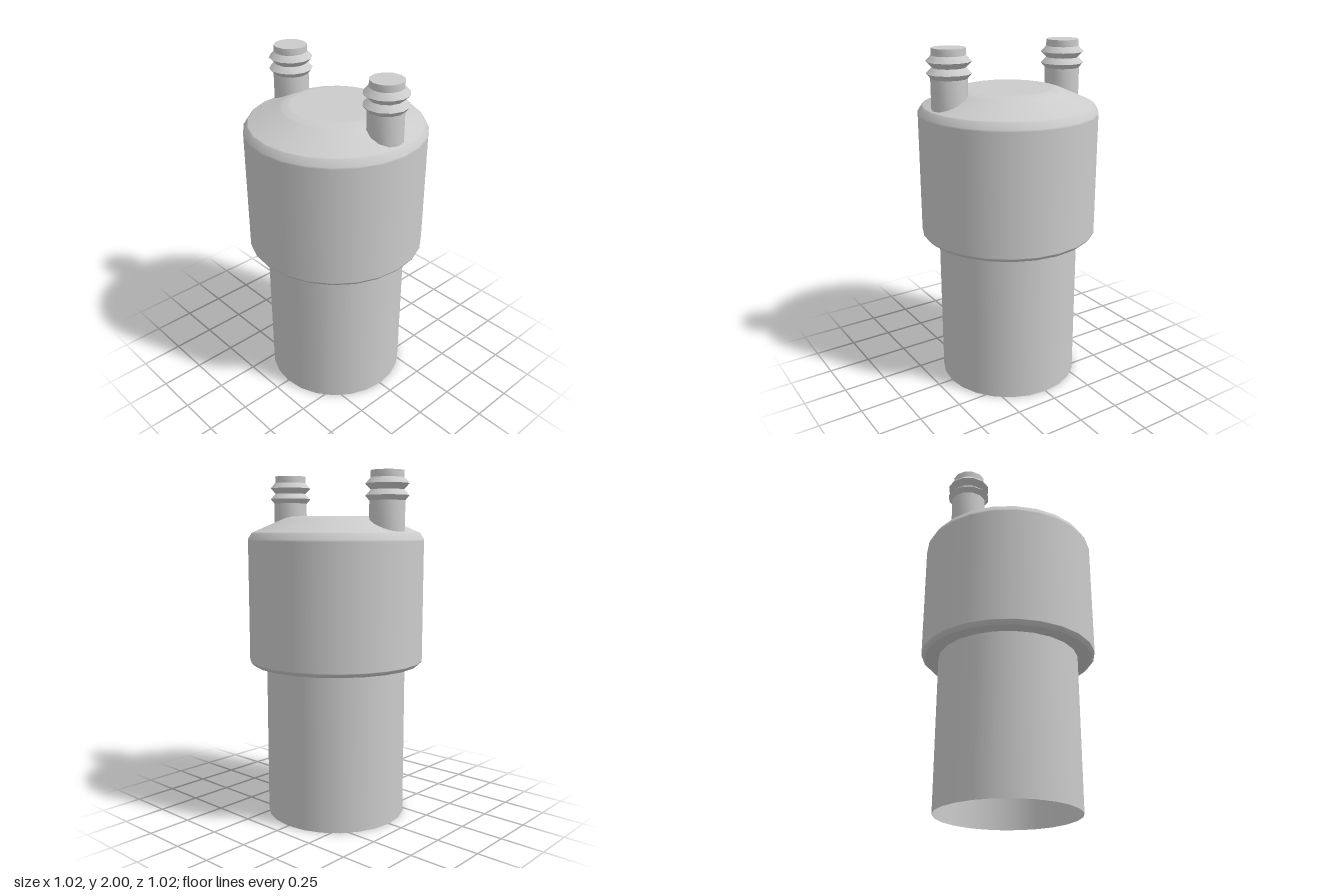
import * as THREE from 'three';
import { toCreasedNormals } from 'three/addons/utils/BufferGeometryUtils.js';

const material = new THREE.MeshStandardMaterial({ color: 0xcccccc });
const openMaterial = new THREE.MeshStandardMaterial({ color: 0xcccccc, side: THREE.DoubleSide });

// Revolve a profile of [radius, height] pairs listed from bottom to top
function lathe(profile, sides) {
  return new THREE.LatheGeometry(profile.map(([r, y]) => new THREE.Vector2(r, y)), sides);
}

function addMesh(parent, name, geometry, mat = material) {
  const mesh = new THREE.Mesh(geometry, mat);
  mesh.name = name;
  parent.add(mesh);
  return mesh;
}

export function createModel() {
  const model = new THREE.Group();
  model.name = 'canister';

  // Lower sleeve, open at the bottom
  const sleeve = new THREE.CylinderGeometry(0.41, 0.41, 0.91, 24, 1, true);
  sleeve.translate(0, 0.455, 0);
  addMesh(model, 'lowerSleeve', sleeve, openMaterial);

  // Wide upper body; close support loops keep the large faces evenly shaded
  addMesh(model, 'upperBody', lathe([
    [0, 0.905], [0.485, 0.905], [0.49, 0.905],
    [0.51, 0.925], [0.51, 0.93], [0.51, 1.62], [0.51, 1.63],
    [0.488, 1.665], [0.48, 1.669], [0.305, 1.745], [0.295, 1.749],
    [0.26, 1.757], [0.25, 1.757], [0, 1.757],
  ], 24));

  // Two barbed hose fittings
  const fitting = toCreasedNormals(lathe([
    [0, 1.62], [0.1, 1.62], [0.1, 1.84],
    [0.123, 1.867], [0.091, 1.898],
    [0.123, 1.93], [0.093, 1.962],
    [0.093, 2], [0, 2],
  ], 12), 0.62);
  for (const [name, side] of [['leftFitting', 1], ['rightFitting', -1]]) {
    const mesh = addMesh(model, name, fitting);
    mesh.position.x = side * 0.373;
    mesh.rotation.y = -0.07;
  }

  return model;
}
